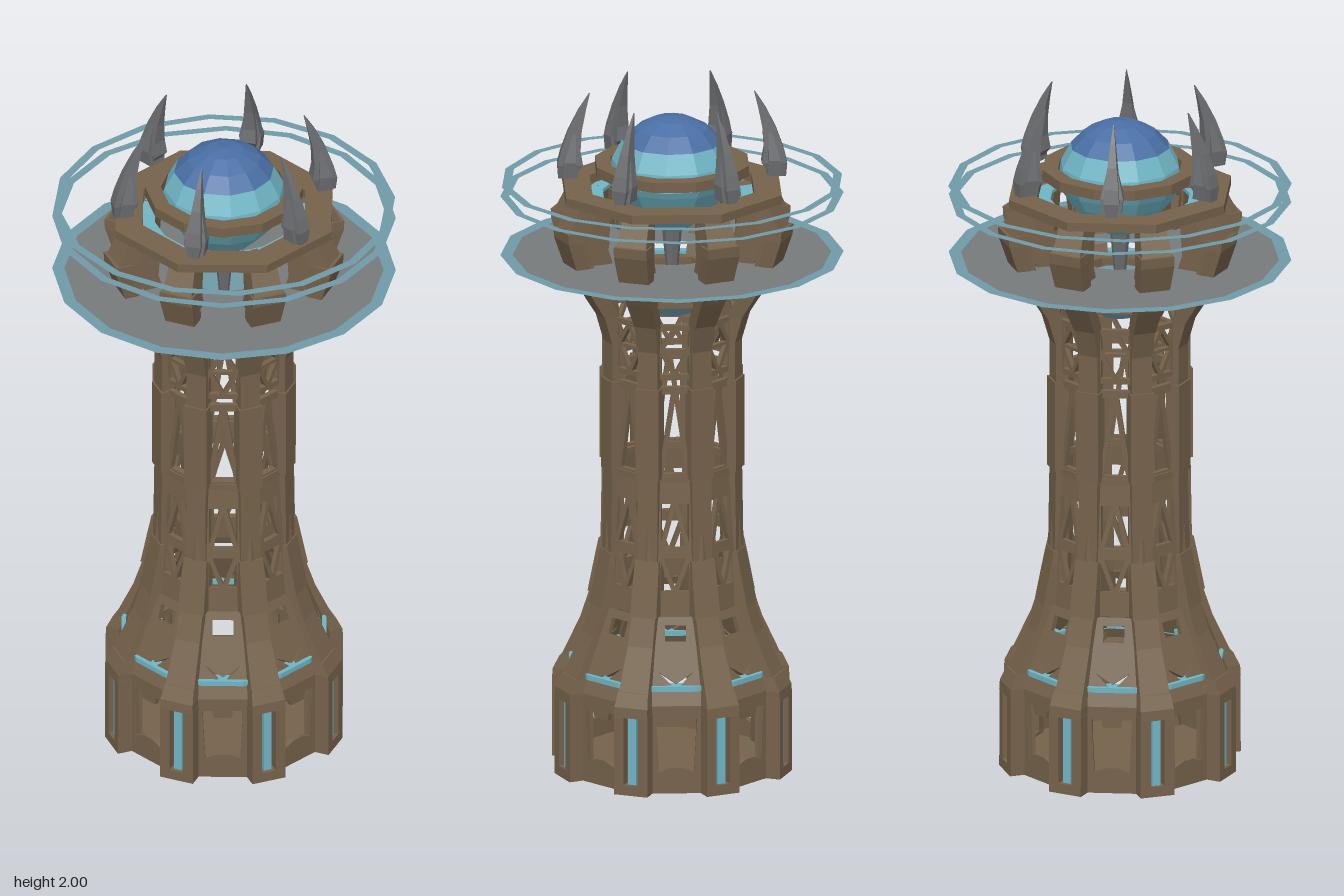
import * as THREE from 'three';

const mat = (name, color, extra = {}) => {
  const m = new THREE.MeshStandardMaterial({ color, flatShading: true, ...extra });
  m.name = name;
  return m;
};

export function createModel() {
  const two = { side: THREE.DoubleSide };
  const bronze = mat('bronze', 0x75624b, two);
  const steel = mat('steel', 0x6c6d70);
  const aqua = mat('aqua glass', 0x70b5c5, two);
  const blue = mat('blue glass', 0x4a6fa5, two);
  const rimBlue = mat('rim blue', 0x6f9aa7, two);
  const slate = mat('platform slate', 0x777b7c, two);

  const root = new THREE.Group();
  root.name = 'tower';
  const add = (parent, name, geo, material, x = 0, y = 0, z = 0) => {
    const m = new THREE.Mesh(geo, material);
    m.name = name;
    m.position.set(x, y, z);
    parent.add(m);
  };
  const V = (x, y) => new THREE.Vector2(x, y);
  const lathe = (pts, seg = 8, start = Math.PI / 8) =>
    new THREE.LatheGeometry(pts.map(p => V(...p)), seg, start);
  // closed ring with a rectangular section
  const band = (r0, r1, y0, y1, seg = 8) =>
    lathe([[r0, y0], [r1, y0], [r1, y1], [r0, y1], [r0, y0]], seg, Math.PI / seg);

  // four-sided loft; each section is [y, inner radius, outer radius, width], radius along +z
  function loft(sections) {
    const pos = [], idx = [];
    for (const [y, a, b, w] of sections)
      pos.push(-w / 2, y, b, w / 2, y, b, w / 2, y, a, -w / 2, y, a);
    const n = sections.length;
    for (let s = 0; s < n - 1; s++)
      for (let k = 0; k < 4; k++) {
        const p = s * 4 + k, q = s * 4 + (k + 1) % 4;
        idx.push(p, q, q + 4, p, q + 4, p + 4);
      }
    const t = (n - 1) * 4;
    idx.push(0, 2, 1, 0, 3, 2, t, t + 1, t + 2, t, t + 2, t + 3);
    const g = new THREE.BufferGeometry();
    g.setAttribute('position', new THREE.Float32BufferAttribute(pos, 3));
    g.setIndex(idx);
    const flat = g.toNonIndexed();
    flat.computeVertexNormals();
    return flat;
  }

  // wall panel between two pillars, leaning from radius r0 to r1, with polygonal openings
  function panel(y0, y1, r0, r1, holes) {
    const h = Math.hypot(y1 - y0, r1 - r0), a = r0 * 0.41, b = r1 * 0.41;
    const shape = new THREE.Shape([V(-a, 0), V(a, 0), V(b, h), V(-b, h)]);
    for (const hole of holes)
      shape.holes.push(new THREE.Path(hole.map(([x, y]) => V(x, y * h))));
    const g = new THREE.ExtrudeGeometry(shape, { depth: 0.015, bevelEnabled: false });
    g.translate(0, 0, -0.015);
    g.rotateX(Math.atan2(r1 - r0, y1 - y0));
    g.translate(0, y0, r0);
    return g;
  }
  // an upright or inverted triangular truss between fractions f0 and f1 of the height
  const truss = (f0, f1, w, up = true) => {
    const base = up ? f0 : f1, tip = up ? f1 : f0;
    const s = (f1 - f0) * 0.12 * (up ? 1 : -1);
    return [
      [[-w * 0.75, base], [w * 0.75, base], [0, tip - s]],
      [[-w, base + s], [-w, tip], [-w * 0.25, tip]],
      [[w, base + s], [w, tip], [w * 0.25, tip]],
    ];
  };

  // floor
  add(root, 'floor', new THREE.CylinderGeometry(0.31, 0.31, 0.02, 8, 1, false, Math.PI / 8), bronze, 0, 0.01);

  // eight pillars and the lattice walls between them
  const pillar = loft([
    [0.24, 0.27, 0.335, 0.09], [0.29, 0.26, 0.325, 0.09], [0.42, 0.21, 0.265, 0.075],
    [0.52, 0.18, 0.232, 0.07], [0.66, 0.165, 0.206, 0.06], [0.9, 0.165, 0.202, 0.06],
    [1.28, 0.165, 0.202, 0.06], [1.36, 0.18, 0.225, 0.065], [1.44, 0.22, 0.275, 0.075],
    [1.52, 0.265, 0.32, 0.085], [1.62, 0.285, 0.345, 0.09], [1.7, 0.25, 0.305, 0.08],
  ]);
  const collar = loft([[0.5, 0.18, 0.242, 0.08], [0.62, 0.17, 0.218, 0.075], [0.66, 0.17, 0.21, 0.07]]);
  const sleeve = loft([[0.9, 0.165, 0.207, 0.07], [1.17, 0.165, 0.207, 0.07]]);
  const shoulder = loft([[1.52, 0.28, 0.321, 0.09], [1.6, 0.3, 0.348, 0.1], [1.63, 0.3, 0.35, 0.1]]);
  const strut = loft([[1.44, 0.17, 0.2, 0.045], [1.56, 0.21, 0.28, 0.045], [1.7, 0.2, 0.27, 0.045]]);
  const cap = loft([[0.23, 0.27, 0.346, 0.1], [0.26, 0.27, 0.344, 0.1], [0.3, 0.26, 0.325, 0.09]]);
  const leg = new THREE.BoxGeometry(0.03, 0.24, 0.075);
  const tube = new THREE.BoxGeometry(0.024, 0.22, 0.02);
  const foot = new THREE.BoxGeometry(0.1, 0.03, 0.076);
  const walls = [
    panel(0, 0.26, 0.3, 0.3, [[[-0.05, 0.24], [-0.015, 0.29], [0.015, 0.29], [0.05, 0.24],
      [0.058, 0.85], [0.03, 0.85], [0.025, 0.76], [-0.025, 0.76], [-0.03, 0.85], [-0.058, 0.85]]]),
    panel(0.26, 0.5, 0.3, 0.21, [
      [[-0.05, 0.38], [0, 0.18], [0.05, 0.38], [0, 0.25]],
      [[-0.03, 0.72], [0.03, 0.72], [0.03, 0.9], [-0.03, 0.9]]]),
    panel(0.5, 0.9, 0.205, 0.18, [...truss(0.18, 0.42, 0.04, false), ...truss(0.5, 0.82, 0.04)]),
    panel(0.9, 1.175, 0.18, 0.18, truss(0.06, 0.92, 0.042)),
    panel(1.195, 1.36, 0.18, 0.185, [...truss(0.1, 0.5, 0.04, false), ...truss(0.56, 0.9, 0.04)]),
  ];
  for (let i = 0; i < 8; i++) {
    const bay = new THREE.Group();
    bay.name = 'pillarBay';
    bay.rotation.y = (i + 0.5) * Math.PI / 4;
    root.add(bay);
    add(bay, 'pillar', pillar, bronze);
    add(bay, 'pillarCollar', collar, bronze);
    add(bay, 'pillarSleeve', sleeve, bronze);
    add(bay, 'pillarShoulder', shoulder, bronze);
    add(bay, 'deckStrut', strut, bronze);
    add(bay, 'baseCap', cap, bronze);
    for (const s of [-1, 1]) add(bay, 'baseLeg', leg, bronze, s * 0.036, 0.12, 0.308);
    add(bay, 'lightTube', tube, aqua, 0, 0.14, 0.325);
    add(bay, 'baseFoot', foot, bronze, 0, 0.015, 0.308);
    const wall = new THREE.Group();
    wall.name = 'latticeWall';
    wall.rotation.y = i * Math.PI / 4;
    root.add(wall);
    for (const g of walls) add(wall, 'latticePanel', g, bronze);
  }

  // hoops tying the pillars together
  add(root, 'baseHoop', band(0.26, 0.315, 0.245, 0.265), bronze);
  add(root, 'lightHoop', band(0.26, 0.298, 0.3, 0.315, 16), aqua);
  add(root, 'middleHoop', band(0.165, 0.2, 0.89, 0.91), bronze);
  add(root, 'upperHoop', band(0.16, 0.235, 1.42, 1.46), bronze);
  add(root, 'upperLightHoop', band(0.19, 0.215, 1.46, 1.47, 16), aqua);

  // hanging core below the dome
  add(root, 'coreBowl', lathe([[0, 1.35], [0.06, 1.35], [0.1, 1.4], [0.12, 1.45], [0, 1.45]], 12), rimBlue);
  add(root, 'coreStem', new THREE.CylinderGeometry(0.03, 0.015, 0.16, 8), steel, 0, 1.53);
  add(root, 'domeBowl', lathe([[0, 1.59], [0.05, 1.6], [0.1, 1.64], [0.145, 1.69], [0.17, 1.73]], 12), aqua);

  // deck, dome collar and dome
  add(root, 'deck', band(0.25, 0.333, 1.7, 1.726), bronze);
  add(root, 'deckLightHoop', band(0.2, 0.245, 1.69, 1.7, 16), aqua);
  add(root, 'domeCollar', band(0.18, 0.225, 1.765, 1.795, 12), bronze);
  add(root, 'domeSide', lathe([[0.17, 1.73], [0.18, 1.75], [0.172, 1.8], [0.143, 1.855]], 12), aqua);
  add(root, 'domeTop', lathe([[0.143, 1.855], [0.105, 1.895], [0.055, 1.921], [0, 1.93]], 12), blue);

  // six curved claws around the dome
  const claw = loft([
    [1.75, 0.285, 0.325, 0.03], [1.79, 0.255, 0.328, 0.045], [1.83, 0.262, 0.318, 0.04],
    [1.89, 0.258, 0.297, 0.027], [1.95, 0.246, 0.268, 0.014], [2.0, 0.234, 0.237, 0.002],
  ]);
  const clawPlate = loft([[1.755, 0.27, 0.315, 0.055], [1.8, 0.275, 0.31, 0.065], [1.88, 0.275, 0.285, 0.03]]);
  for (let i = 0; i < 6; i++) {
    const g = new THREE.Group();
    g.name = 'claw';
    g.rotation.y = Math.PI / 2 + i * Math.PI / 3;
    root.add(g);
    add(g, 'clawBlade', claw, steel);
    add(g, 'clawPlate', clawPlate, steel);
  }

  // flat landing platform and the two stacked halo rings above it
  const flatRing = (name, r0, r1, y, material, turn = 0) => {
    const g = new THREE.RingGeometry(r0, r1, 16, 1, Math.PI / 2 + turn);
    g.rotateX(-Math.PI / 2);
    add(root, name, g, material, 0, y);
  };
  flatRing('platform', 0.12, 0.455, 1.52, slate);
  flatRing('platformRim', 0.455, 0.49, 1.52, rimBlue);
  flatRing('lowerHalo', 0.465, 0.49, 1.695, rimBlue);
  flatRing('upperHalo', 0.465, 0.49, 1.735, rimBlue, 0.1);
  return root;
}
